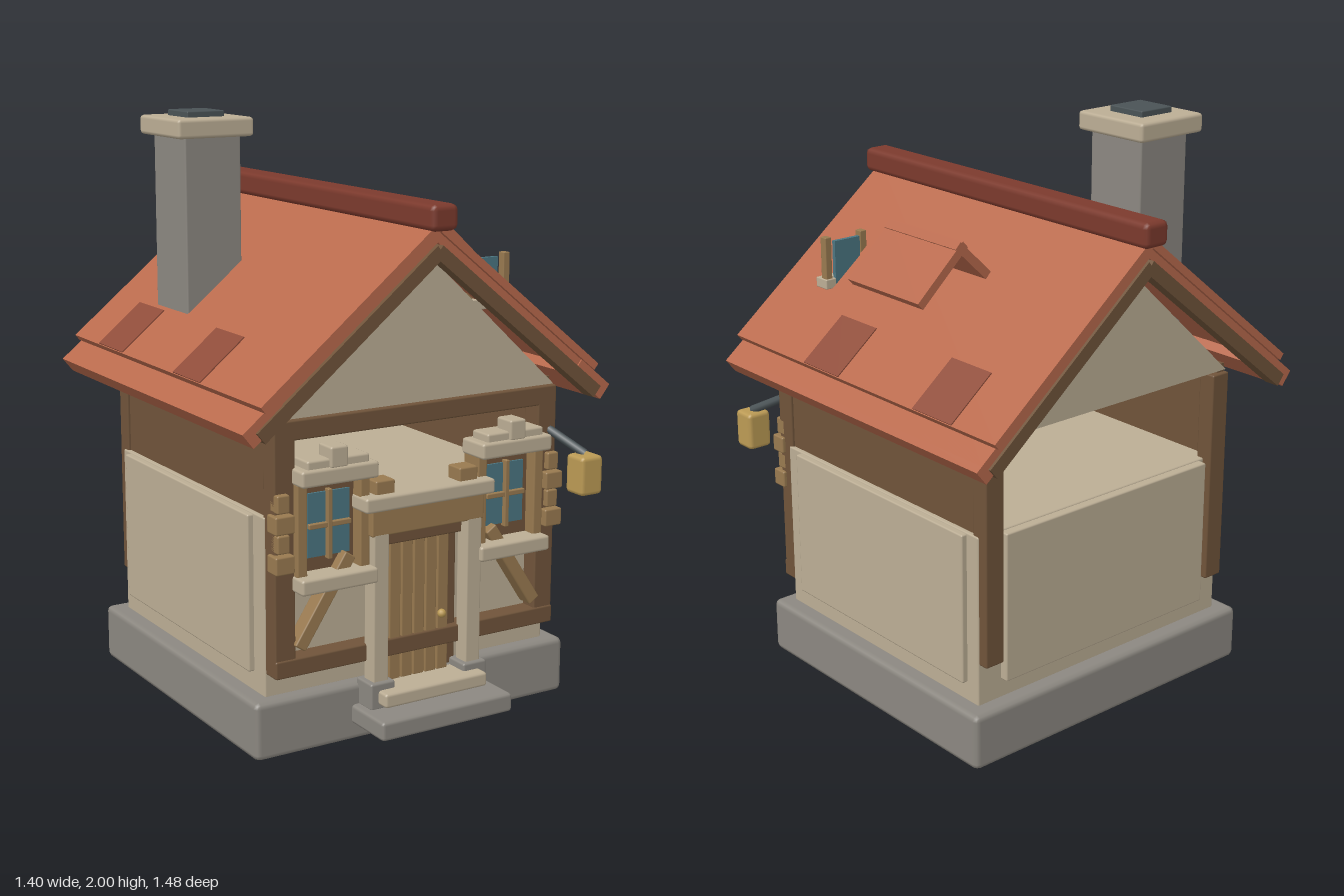
import * as THREE from 'three';
import { RoundedBoxGeometry } from 'three/addons/geometries/RoundedBoxGeometry.js';

const mat = (name, color) => {
  const m = new THREE.MeshStandardMaterial({ color });
  m.name = name;
  return m;
};

export function createModel() {
  const cream = mat('cream plaster', 0xbcae95);
  const stone = mat('grey stone', 0x8c8881);
  const darkWood = mat('dark timber', 0x70543a);
  const wood = mat('light timber', 0x997a50);
  const tile = mat('roof tile', 0xb96a4d);
  const darkTile = mat('dark roof tile', 0x8f4d3a);
  const ridgeRed = mat('ridge red', 0x7c3a2d);
  const glass = mat('window glass', 0x4b7682);
  const slate = mat('dark iron', 0x4a5356);
  const gold = mat('lantern gold', 0xbc9b55);

  const house = new THREE.Group();
  house.name = 'cottage';

  // Box from its limits on each axis; r is the edge rounding
  const box = (name, m, x0, x1, y0, y1, z0, z1, r = 0.006) => {
    const w = Math.abs(x1 - x0), h = y1 - y0, d = z1 - z0;
    const g = r > 0 ? new RoundedBoxGeometry(w, h, d, 1, Math.min(r, w / 3, h / 3, d / 3))
      : new THREE.BoxGeometry(w, h, d);
    const mesh = new THREE.Mesh(g, m);
    mesh.name = name;
    mesh.position.set((x0 + x1) / 2, (y0 + y1) / 2, (z0 + z1) / 2);
    house.add(mesh);
    return mesh;
  };

  // Sloping slab whose upper face runs from (x0, y0) to (x1, y1)
  const slab = (name, m, x0, y0, x1, y1, t, z0, z1) => {
    const dx = x1 - x0, dy = y1 - y0, len = Math.hypot(dx, dy), s = Math.sign(dx);
    const mesh = new THREE.Mesh(new THREE.BoxGeometry(len, t, z1 - z0), m);
    mesh.name = name;
    mesh.position.set((x0 + x1) / 2 + (s * dy / len) * t / 2, (y0 + y1) / 2 - (s * dx / len) * t / 2, (z0 + z1) / 2);
    mesh.rotation.z = Math.atan2(dy * s, dx * s);
    house.add(mesh);
    return mesh;
  };

  // Foundation and body
  box('foundation', stone, -0.61, 0.61, 0, 0.195, -0.59, 0.55, 0.02);
  box('body', cream, -0.55, 0.55, 0.19, 0.79, -0.53, 0.5);
  box('backPanel', cream, -0.455, 0.455, 0.26, 0.785, -0.56, -0.5);

  // Side walls and corner posts
  for (const s of [-1, 1]) {
    box('sidePanel', cream, s * 0.5, s * 0.57, 0.26, 0.785, -0.475, 0.43);
    box('upperSideWall', darkWood, s * 0.505, s * 0.535, 0.7, 1.13, -0.55, 0.53, 0);
    box('frontPost', darkWood, s * 0.47, s * 0.545, 0.27, 1.1, 0.485, 0.56);
    box('backPost', darkWood, s * 0.47, s * 0.545, 0.34, 1.1, -0.565, -0.5);
  }
  box('topBeam', darkWood, -0.545, 0.545, 1.04, 1.105, 0.49, 0.56);
  box('lowerBeam', darkWood, -0.545, 0.545, 0.27, 0.33, 0.49, 0.565);

  // Gables
  const tri = new THREE.Shape([[-0.545, 1.105], [0.545, 1.105], [0, 1.61]].map(p => new THREE.Vector2(...p)));
  for (const z of [0.5, -0.55]) {
    const gable = new THREE.Mesh(new THREE.ExtrudeGeometry(tri, { depth: 0.04, bevelEnabled: false }), cream);
    gable.name = 'gable';
    gable.position.z = z;
    house.add(gable);
  }

  // Roof: upper course, under course, eaves, barge boards and odd tiles
  const slope = 0.805;
  for (const s of [-1, 1]) {
    const course = (name, m, top, x0, x1, t, z0, z1) =>
      slab(name, m, s * x0, top - slope * x0, s * x1, top - slope * x1, t, z0, z1);
    course('roofCourse', tile, 1.7, 0, 0.642, 0.025, -0.72, 0.655);
    course('roofUnderCourse', tile, 1.668, 0, 0.68, 0.028, -0.705, 0.64);
    course('eave', tile, 1.668, 0.58, 0.7, 0.06, -0.705, 0.645);
    course('frontBarge', darkWood, 1.632, 0.01, 0.655, 0.045, 0.6, 0.655);
    course('backBarge', darkWood, 1.632, 0.01, 0.655, 0.045, -0.715, -0.66);
    for (const z of [-0.515, 0.065])
      course('oddTile', darkTile, 1.705, 0.48, 0.642, 0.006, z, z + 0.19);
  }
  box('ridge', ridgeRed, -0.05, 0.05, 1.67, 1.755, -0.74, 0.685, 0.02);

  // Chimney
  box('chimney', stone, -0.465, -0.255, 1.24, 1.925, -0.405, -0.17);
  box('chimneyCap', cream, -0.5, -0.215, 1.915, 1.98, -0.445, -0.145, 0.012);
  box('flue', slate, -0.428, -0.288, 1.97, 2, -0.37, -0.222, 0.004);

  // Dormer roof and its small window
  slab('dormerRoofLeft', tile, 0.35, 1.645, 0.225, 1.525, 0.03, -0.215, 0.155);
  slab('dormerRoofRight', tile, 0.34, 1.645, 0.525, 1.475, 0.03, -0.215, 0.155);
  box('dormerGlass', glass, 0.295, 0.4, 1.38, 1.53, 0.395, 0.41, 0);
  box('dormerPostLeft', wood, 0.262, 0.288, 1.37, 1.545, 0.4, 0.43, 0.003);
  box('dormerPostRight', wood, 0.41, 0.435, 1.37, 1.545, 0.4, 0.43, 0.003);
  box('dormerSill', cream, 0.27, 0.44, 1.365, 1.4, 0.395, 0.455, 0.004);

  // Front windows, braces and corner blocks, mirrored
  for (const s of [-1, 1]) {
    const b = (name, m, x0, x1, ...rest) => box(name, m, s * x0, s * x1, ...rest);
    b('windowSurround', darkWood, 0.22, 0.465, 0.6, 0.9, 0.49, 0.54);
    b('windowGlass', glass, 0.265, 0.42, 0.65, 0.86, 0.53, 0.548, 0);
    b('windowMullion', wood, 0.337, 0.353, 0.64, 0.87, 0.54, 0.565, 0.003);
    b('windowBar', wood, 0.265, 0.42, 0.745, 0.762, 0.54, 0.562, 0.003);
    b('windowPostInner', wood, 0.21, 0.246, 0.6, 0.905, 0.5, 0.585);
    b('windowPostOuter', wood, 0.44, 0.477, 0.6, 0.905, 0.5, 0.585);
    b('windowSill', cream, 0.2, 0.482, 0.552, 0.605, 0.5, 0.625, 0.01);
    b('windowHeader', cream, 0.2, 0.482, 0.9, 0.955, 0.5, 0.625, 0.01);
    b('windowCornice', cream, 0.228, 0.455, 0.945, 0.982, 0.52, 0.61, 0.008);
    b('keystone', cream, 0.312, 0.376, 0.95, 1.02, 0.54, 0.62, 0.008);

    const brace = new THREE.Mesh(new RoundedBoxGeometry(0.045, 0.34, 0.06, 1, 0.005), wood);
    brace.name = 'brace';
    brace.position.set(s * 0.368, 0.505, 0.545);
    brace.rotation.z = s * Math.atan2(0.185, 0.28);
    house.add(brace);

    for (let i = 0; i < 4; i++) {
      const out = i % 2 ? 0.545 : 0.557;
      b('cornerBlock', wood, 0.488 + (i % 2) * 0.012, out, 0.622 + i * 0.065, 0.682 + i * 0.065, 0.53, 0.59 - (i % 2) * 0.01);
    }
  }

  // Door with planks, frame and knob
  box('doorBacking', darkWood, -0.155, 0.155, 0.19, 0.705, 0.48, 0.54);
  box('doorHeader', darkWood, -0.155, 0.155, 0.655, 0.705, 0.52, 0.575);
  for (let i = 0; i < 5; i++) {
    const x = -0.117 + i * 0.047;
    box('doorPlank', wood, x, x + 0.042, 0.185, 0.655, 0.52, 0.56, 0.004);
  }
  const knob = new THREE.Mesh(new THREE.SphereGeometry(0.015, 12, 8), gold);
  knob.name = 'doorKnob';
  knob.position.set(0.08, 0.385, 0.572);
  house.add(knob);

  // Porch
  box('lowerStep', stone, -0.255, 0.255, 0.06, 0.125, 0.5, 0.738, 0.012);
  box('upperStep', cream, -0.2, 0.2, 0.138, 0.187, 0.5, 0.67, 0.01);
  for (const s of [-1, 1]) {
    box('columnBase', stone, s * 0.135, s * 0.228, 0.12, 0.212, 0.53, 0.625, 0.008);
    box('column', cream, s * 0.152, s * 0.21, 0.205, 0.71, 0.55, 0.61);
    box('lintelBlock', wood, s * 0.125, s * 0.197, 0.82, 0.88, 0.53, 0.6);
  }
  box('porchBeam', wood, -0.217, 0.217, 0.7, 0.79, 0.5, 0.61);
  box('lintel', cream, -0.25, 0.25, 0.785, 0.836, 0.5, 0.628, 0.01);

  // Lantern on its arm
  box('lantern', gold, 0.535, 0.625, 0.75, 0.885, 0.63, 0.72, 0.015);
  const arm = new THREE.Mesh(new THREE.TubeGeometry(new THREE.LineCurve3(
    new THREE.Vector3(0.515, 0.96, 0.54), new THREE.Vector3(0.582, 0.885, 0.675)), 1, 0.015, 8), slate);
  arm.name = 'lanternArm';
  house.add(arm);

  return house;
}
